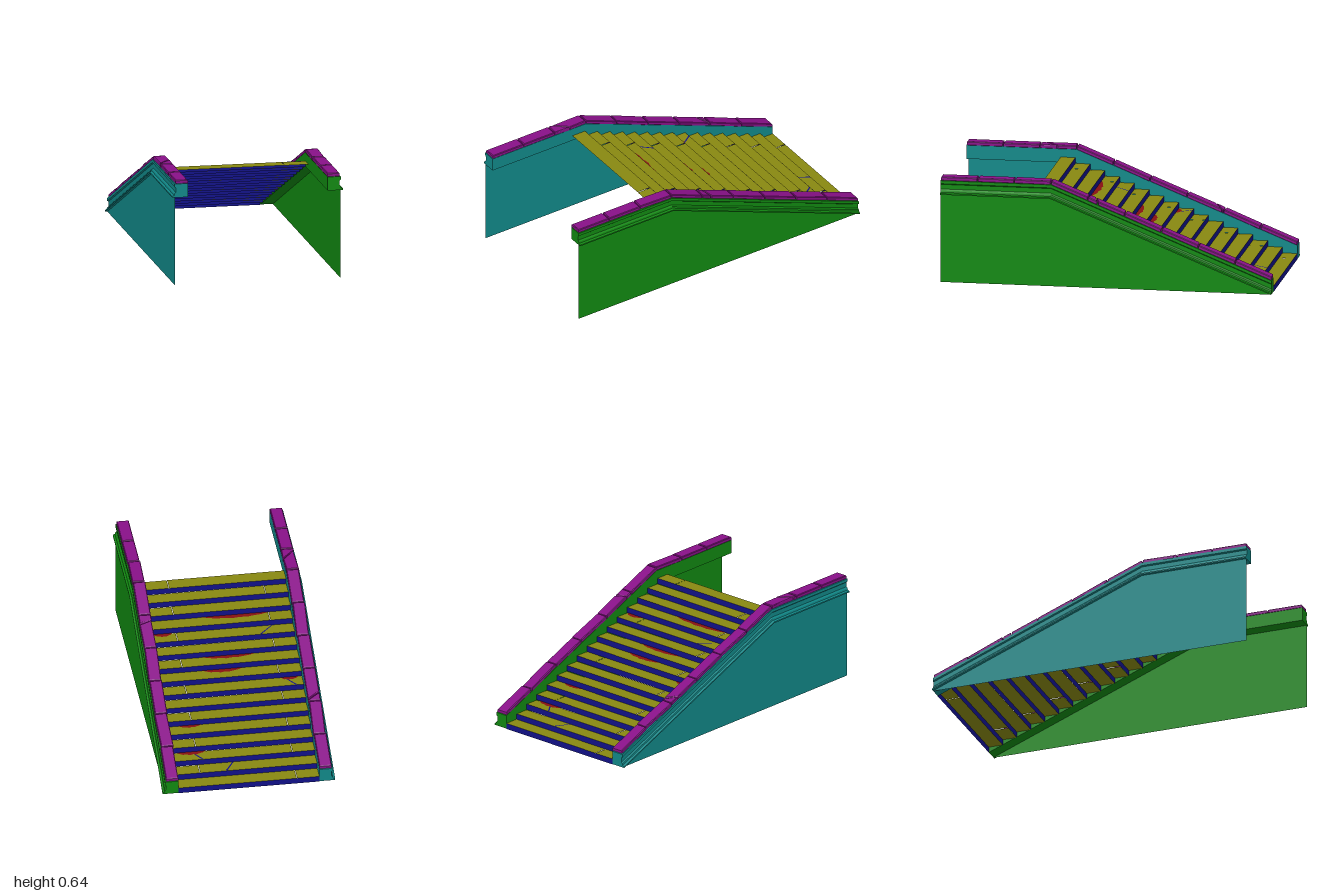
import * as THREE from 'three';

const mat = (color) => new THREE.MeshStandardMaterial({ color, side: THREE.DoubleSide });
const YELLOW = mat(0x888811), BLUE = mat(0x111188), RED = mat(0x881111);
const PURPLE = mat(0x881188), GREEN = mat(0x118811), CYAN = mat(0x118888);

const STEPS = 16, HALF = 0.425, RUN = 1.43 / STEPS, RISE = 0.57 / STEPS;
const KINK = 1 / 3, SLOPE = 0.535 / (1 + KINK);

// Height lost along the wall: level in front of the kink, falling behind it
const drop = (z) => Math.max(0, KINK - z) * SLOPE;

function shear(geo) {
  const p = geo.attributes.position;
  for (let i = 0; i < p.count; i++) p.setY(i, p.getY(i) - drop(p.getZ(i)));
  geo.computeVertexNormals();
  return geo;
}

function add(parent, name, geo, material) {
  const mesh = new THREE.Mesh(geo, material);
  mesh.name = name;
  parent.add(mesh);
  return mesh;
}

const shapeOf = (pts) => new THREE.Shape(pts.map(([x, y]) => new THREE.Vector2(x, y)));

// Flat patch given as [x, z] points at height y, facing up
function flat(pts, y) {
  return new THREE.ShapeGeometry(shapeOf(pts.map(([x, z]) => [x, -z])))
    .rotateX(-Math.PI / 2).translate(0, y, 0);
}

// Coping stone with chamfered edges, from a plan outline of [x, z] points
function stone(parent, pts, yaw) {
  const b = 0.004;
  const xm = 0.462, zm = pts.reduce((s, p) => s + p[1], 0) / pts.length;
  const geo = new THREE.ExtrudeGeometry(shapeOf(pts.map(([x, z]) => [x, -z])), {
    depth: 0.016, bevelEnabled: true, bevelThickness: b, bevelSize: b, bevelOffset: -b, bevelSegments: 1,
  }).rotateX(-Math.PI / 2);
  geo.translate(-xm, 0.622, -zm).rotateY(yaw).translate(xm, 0, zm);
  add(parent, 'copingStone', shear(geo), PURPLE);
}

// One side wall, modelled on the +x side
function sideWall(name, material, yaws, cracks) {
  const wall = new THREE.Group();
  wall.name = name;

  // Moulded rail following the stair line
  const profile = [[HALF, 0.537], [HALF, 0.62], [0.505, 0.62], [0.505, 0.602], [0.498, 0.596],
    [0.498, 0.568], [0.506, 0.56], [0.508, 0.55], [0.52, 0.545], [0.52, 0.537]];
  const rail = new THREE.ExtrudeGeometry(shapeOf(profile), { depth: 2, steps: 3, bevelEnabled: false });
  add(wall, 'rail', shear(rail.translate(0, 0, -1)), material);

  // Thin panel below the rail
  const panel = new THREE.ShapeGeometry(shapeOf([[-1, 0], [1, 0], [1, 0.004], [-KINK, 0.54], [-1, 0.54]]));
  add(wall, 'sidePanel', panel.rotateY(Math.PI / 2).translate(0.503, 0, 0), material);

  // Nine coping stones, some cracked in two
  const len = 2 / 9, x0 = 0.425, x1 = 0.499, g = 0.003;
  for (let i = 0; i < 9; i++) {
    const a = -1 + i * len + g, b = -1 + (i + 1) * len - g;
    const cut = cracks[i];
    if (!cut) {
      stone(wall, [[x0, a], [x1, a], [x1, b], [x0, b]], yaws[i]);
      continue;
    }
    const [zi, zo] = cut;
    stone(wall, [[x0, a], [x1, a], [x1, zo - g], [x0, zi - g]], yaws[i]);
    stone(wall, [[x0, zi + g], [x1, zo + g], [x1, b], [x0, b]], -yaws[i]);
  }
  return wall;
}

export function createModel() {
  const model = new THREE.Group();
  const stairs = new THREE.Group();
  stairs.name = 'stairs';
  model.add(stairs);

  // Treads of two boards with alternating joints, plus risers
  for (let i = 0; i < STEPS; i++) {
    const z0 = -1 + i * RUN, z1 = z0 + RUN, y = (i + 1) * RISE;
    const joint = i % 2 ? 0.28 : -0.29;
    const skew = [0, 0.006, -0.004, 0.003][i % 4];
    for (const [a, b] of [[-HALF, joint - 0.0015], [joint + 0.0015, HALF]]) {
      const tilt = a < -0.4 ? 0 : skew;
      const board = flat([[a, z0], [b, z0], [b, z1], [a, z1]], y);
      const p = board.attributes.position;
      for (let k = 0; k < p.count; k++) p.setY(k, y - Math.abs(tilt) * (p.getX(k) > 0 ? 0.3 : 0));
      board.computeVertexNormals();
      add(stairs, 'treadBoard', board, YELLOW);
    }
    const riser = new THREE.PlaneGeometry(2 * HALF, RISE).rotateY(Math.PI);
    add(stairs, 'riser', riser.translate(0, y - RISE / 2, z0), BLUE);
  }

  // Ragged broken patches against the risers: step, centre x, width, depth
  const outline = [0, 0.45, 0.65, 0.9, 0.8, 1, 0.7, 0.75, 0.4, 0];
  for (const [step, x, w, d] of [[2, 0.31, 0.18, 0.035], [4, 0.29, 0.14, 0.028], [7, -0.35, 0.11, 0.03],
    [8, 0.04, 0.25, 0.035], [9, -0.01, 0.32, 0.032], [11, 0.36, 0.12, 0.035], [12, -0.09, 0.41, 0.037]]) {
    const z = -1 + (step + 1) * RUN - 0.001;
    const pts = outline.map((h, k) => [x + w * (k / (outline.length - 1) - 0.5), z - d * h]);
    add(stairs, 'brokenPatch', flat(pts, (step + 1) * RISE + 0.002), RED);
  }

  // Diagonal cracks across single treads: step, x at back, x at front
  for (const [step, xa, xb] of [[1, 0.12, 0.07], [2, 0.25, 0.31], [7, -0.38, -0.32], [11, -0.22, -0.3]]) {
    const z0 = -1 + step * RUN + 0.002, z1 = z0 + RUN - 0.004, t = 0.006;
    const pts = [[xa - t, z0], [xa + t, z0], [xb + t * 0.6, z1], [xb - t * 0.6, z1]];
    add(stairs, 'treadCrack', flat(pts, (step + 1) * RISE + 0.0015), BLUE);
  }

  // Side walls, the right one mirrored
  model.add(sideWall('leftWall', GREEN,
    [0, 0.04, 0, -0.03, 0.03, 0, -0.03, 0, 0], { 4: [0.07, 0.05] }));
  const right = sideWall('rightWall', CYAN,
    [0, 0.04, 0, 0, 0.04, 0, -0.03, 0, 0], { 2: [-0.545, -0.5], 6: [0.45, 0.53] });
  right.scale.x = -1;
  model.add(right);

  return model;
}
